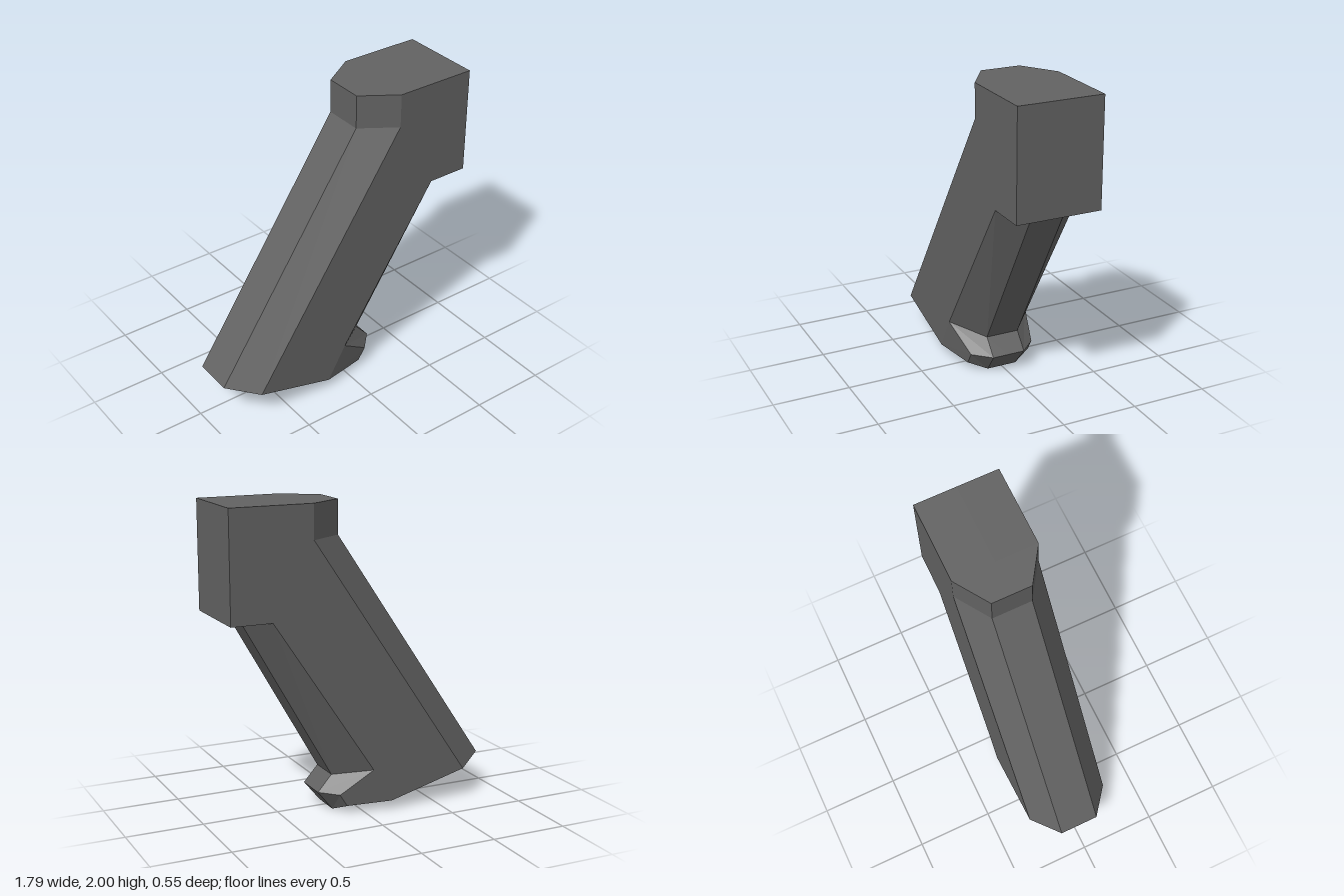
import * as THREE from 'three';

// Half cross-sections from top to bottom, each running from the rear (-x)
// round the +z side to the front (+x): rear, rear side, mid side, front side, front.
const REAR_TOP = [0.13, 1.78, 0.13], SIDE_TOP = [0.355, 1.78, 0.277];
const REAR_LOW = [-0.893, 0.25, 0.13], SIDE_LOW = [-0.705, 0.2, 0.277], SIDE_BASE = [-0.18, 0.06, 0.277];

const SECTIONS = [
  // head block
  [[0.13, 2, 0.13], [0.355, 2, 0.277], [0.355, 2, 0.277], [0.893, 2, 0.277], [0.893, 2, 0.11]],
  [REAR_TOP, SIDE_TOP, SIDE_TOP, [0.893, 1.3, 0.277], [0.893, 1.3, 0.11]],
  // slanted shaft
  [REAR_TOP, SIDE_TOP, SIDE_TOP, [0.625, 1.3, 0.277], [0.775, 1.3, 0.11]],
  [REAR_LOW, SIDE_LOW, SIDE_BASE, [-0.05, 0.285, 0.277], [0.17, 0.237, 0.11]],
  // flared toe
  [REAR_LOW, SIDE_LOW, SIDE_BASE, [0.16, 0.13, 0.22], [0.265, 0.13, 0.11]],
  [REAR_LOW, SIDE_LOW, SIDE_BASE, [0.11, 0.05, 0.22], [0.16, 0, 0.1]],
  [REAR_LOW, SIDE_LOW, SIDE_BASE, [0.05, 0, 0.1], [0.05, 0, 0.1]],
];

function loftMirrored(sections) {
  const positions = [];
  const centre = ([x, y]) => [x, y, 0];
  const mirror = ([x, y, z]) => [x, y, -z];

  // Add a triangle and its mirror image, skipping collapsed ones
  const tri = (a, b, c) => {
    const t = new THREE.Triangle(...[a, b, c].map((p) => new THREE.Vector3(...p)));
    if (t.getArea() < 1e-7) return;
    positions.push(...a, ...b, ...c, ...mirror(a), ...mirror(c), ...mirror(b));
  };
  const quad = (a, b, c, d) => {
    tri(a, b, c);
    tri(a, c, d);
  };

  // Close every half section on the centre plane
  const rings = sections.map((s) => [centre(s[0]), ...s, centre(s[s.length - 1])]);
  for (let k = 0; k < rings.length - 1; k++) {
    const upper = rings[k], lower = rings[k + 1];
    for (let i = 0; i < upper.length - 1; i++) {
      quad(upper[i], lower[i], lower[i + 1], upper[i + 1]);
    }
  }

  // Top and bottom faces
  const top = rings[0], bottom = rings[rings.length - 1];
  for (let i = 0; i < top.length - 1; i++) {
    quad(top[i], top[i + 1], centre(top[i + 1]), centre(top[i]));
    quad(bottom[i], centre(bottom[i]), centre(bottom[i + 1]), bottom[i + 1]);
  }

  const geometry = new THREE.BufferGeometry();
  geometry.setAttribute('position', new THREE.Float32BufferAttribute(positions, 3));
  geometry.computeVertexNormals();
  return geometry;
}

export function createModel() {
  const darkGrey = new THREE.MeshStandardMaterial({ color: 0x626262 });
  darkGrey.name = 'darkGrey';

  const grip = new THREE.Mesh(loftMirrored(SECTIONS), darkGrey);
  grip.name = 'grip';

  const model = new THREE.Group();
  model.name = 'angledGrip';
  model.add(grip);
  return model;
}
